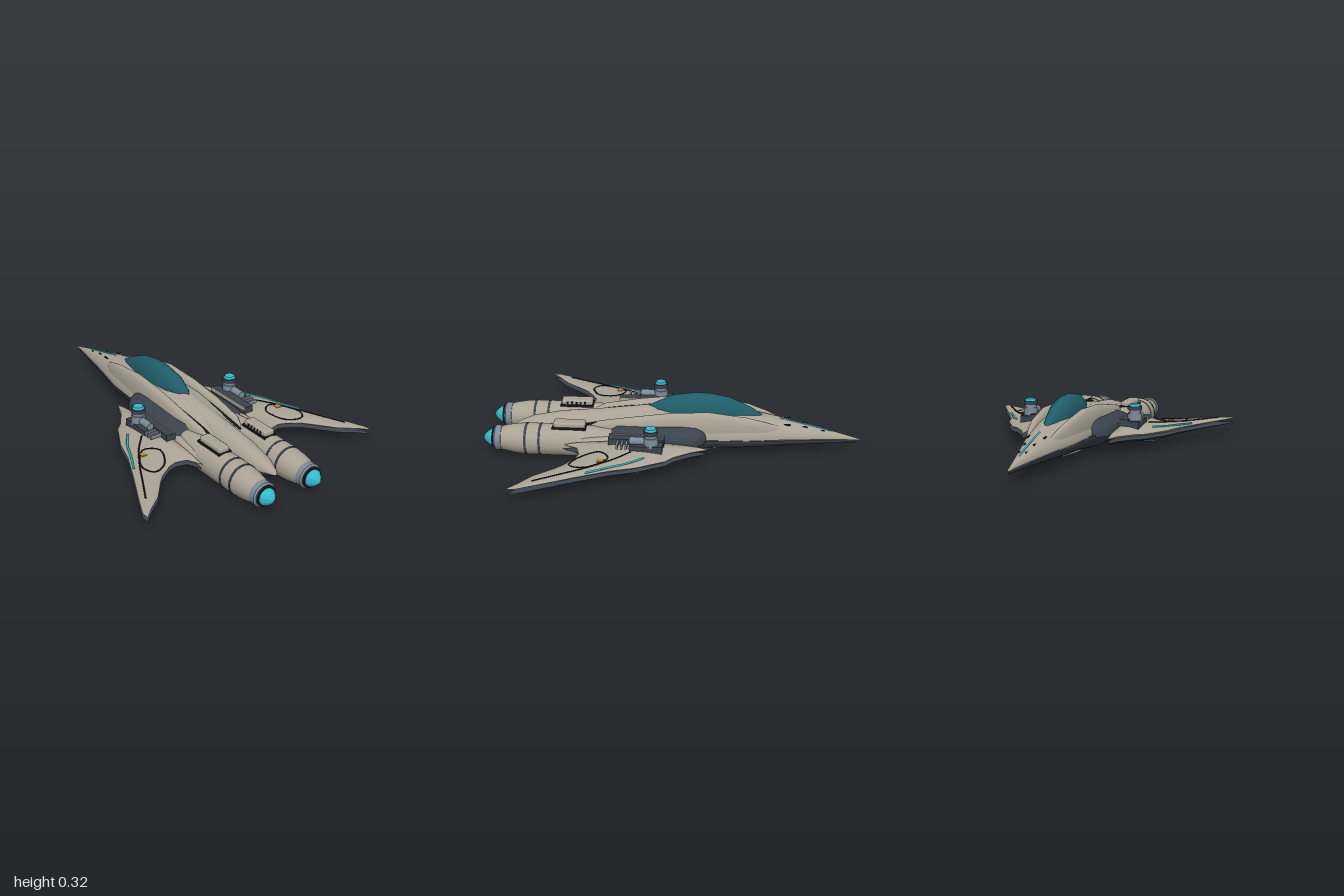
import * as THREE from 'three';
import { toCreasedNormals } from 'three/addons/utils/BufferGeometryUtils.js';
import { RoundedBoxGeometry } from 'three/addons/geometries/RoundedBoxGeometry.js';

const mat = (name, color, side = THREE.FrontSide) => {
  const m = new THREE.MeshStandardMaterial({ color, side });
  m.name = name;
  return m;
};

export function createModel() {
  const D = THREE.DoubleSide;
  const hull = mat('warm grey hull', 0xaaa395, D);
  const slate = mat('dark slate', 0x3a424c, D);
  const glass = mat('teal glass', 0x1f5c69, D);
  const cyan = mat('glowing cyan', 0x35b9cc);
  const metal = mat('blue grey metal', 0x7d8b98);
  const black = mat('black line', 0x15191d);
  const amber = mat('amber mark', 0xc08a3c);

  const model = new THREE.Group();
  const add = (name, geo, material, x = 0, y = 0, z = 0) => {
    const m = new THREE.Mesh(geo, material);
    m.name = name;
    m.position.set(x, y, z);
    model.add(m);
    return m;
  };

  // Skin over rows of points
  const grid = (rows, flip) => {
    const n = rows[0].length, pos = rows.flat(2), idx = [];
    for (let i = 0; i < rows.length - 1; i++) for (let j = 0; j < n - 1; j++) {
      const a = i * n + j, b = a + 1, c = a + n, d = c + 1;
      idx.push(...(flip ? [a, c, b, b, c, d] : [a, b, c, b, d, c]));
    }
    const g = new THREE.BufferGeometry();
    g.setAttribute('position', new THREE.Float32BufferAttribute(pos, 3));
    g.setIndex(idx);
    g.computeVertexNormals();
    return g;
  };

  // Half-oval loft along z; section = [z, centre x, half width, base y, height (negative hangs down)]
  const loft = (sections, s = 1, e = 1) => grid(sections.map(([z, cx, w, y, h]) =>
    Array.from({ length: 25 }, (_, j) => {
      const a = Math.PI * j / 24, c = Math.cos(a);
      return [s * cx + w * Math.sign(c) * Math.abs(c) ** e, y + h * Math.max(0, Math.sin(a)) ** e, z];
    })), sections[0][4] < 0);

  const lathe = (pts) => toCreasedNormals(
    new THREE.LatheGeometry(pts.map(p => new THREE.Vector2(p[0], p[1])), 32).rotateX(Math.PI / 2), 0.6);

  const line = (pts, r = 0.004, closed = false) => new THREE.TubeGeometry(
    new THREE.CatmullRomCurve3(pts.map(p => new THREE.Vector3(...p)), closed, 'centripetal'), 32, r, 5, closed);

  // Fuselage
  add('upperHull', loft([
    [-1, 0, 0.002, 0.072, 0.006], [-0.9, 0, 0.02, 0.08, 0.025], [-0.8, 0, 0.04, 0.086, 0.045],
    [-0.6, 0, 0.083, 0.097, 0.083], [-0.4, 0, 0.13, 0.105, 0.11], [-0.2, 0, 0.147, 0.11, 0.125],
    [0.1, 0, 0.147, 0.11, 0.12], [0.3, 0, 0.13, 0.1, 0.1], [0.46, 0, 0.09, 0.1, 0.06],
  ]), hull);
  add('lowerHull', loft([
    [-0.98, 0, 0.002, 0.066, -0.01], [-0.8, 0, 0.042, 0.082, -0.032], [-0.6, 0, 0.087, 0.095, -0.055],
    [-0.4, 0, 0.133, 0.105, -0.075], [-0.2, 0, 0.15, 0.11, -0.09], [-0.1, 0, 0.22, 0.11, -0.093],
    [0.1, 0, 0.23, 0.11, -0.095], [0.3, 0, 0.22, 0.105, -0.088], [0.45, 0, 0.13, 0.1, -0.078],
    [0.6, 0, 0.075, 0.1, -0.065], [0.75, 0, 0.05, 0.1, -0.045], [0.85, 0, 0.002, 0.1, -0.003],
  ]), slate);
  add('spine', loft([
    [-0.45, 0, 0.03, 0.1, 0.09], [-0.3, 0, 0.07, 0.1, 0.13], [-0.1, 0, 0.08, 0.1, 0.15],
    [0.13, 0, 0.083, 0.1, 0.135], [0.4, 0, 0.08, 0.1, 0.1], [0.6, 0, 0.072, 0.1, 0.08],
    [0.75, 0, 0.05, 0.1, 0.05], [0.82, 0, 0.024, 0.1, 0.022], [0.85, 0, 0.002, 0.1, 0.003],
  ]), hull);
  add('shoulderDeck', loft([
    [-0.19, 0, 0.14, 0.1, 0.05], [-0.17, 0, 0.185, 0.1, 0.07], [-0.13, 0, 0.215, 0.1, 0.085],
    [-0.05, 0, 0.23, 0.1, 0.09], [0.28, 0, 0.228, 0.1, 0.08], [0.36, 0, 0.19, 0.1, 0.03],
  ], 1, 0.65), slate);
  add('canopy', loft([
    [-0.5, 0, 0.004, 0.18, 0.008], [-0.42, 0, 0.035, 0.185, 0.055], [-0.3, 0, 0.058, 0.2, 0.095],
    [-0.2, 0, 0.067, 0.205, 0.108], [-0.12, 0, 0.07, 0.205, 0.11], [0, 0, 0.06, 0.205, 0.092],
    [0.08, 0, 0.035, 0.205, 0.055], [0.13, 0, 0.004, 0.21, 0.025],
  ]), glass);
  add('noseStripe', line([[0, 0.115, -0.85], [0, 0.132, -0.8], [0, 0.157, -0.7], [0, 0.184, -0.57]], 0.005), cyan);

  // Belly plate
  const plate = new THREE.Shape([[-0.03, -0.29], [0.03, -0.29], [0.06, -0.15], [0.05, 0.1], [0.025, 0.21],
    [-0.025, 0.21], [-0.05, 0.1], [-0.06, -0.15]].map(p => new THREE.Vector2(...p)));
  add('bellyPlate', new THREE.ExtrudeGeometry(plate, { depth: 0.009, bevelEnabled: false })
    .rotateX(Math.PI / 2), hull, 0, 0.021, 0);

  // Wing stations: [x, leading z, trailing z, mid y, half thickness]
  const wing = [
    [0.232, -0.21, 0.56, 0.1, 0.001], [0.236, -0.2, 0.55, 0.1, 0.034], [0.27, -0.12, 0.48, 0.1, 0.036],
    [0.33, -0.03, 0.463, 0.098, 0.033], [0.375, 0.01, 0.475, 0.096, 0.029], [0.45, 0.15, 0.525, 0.094, 0.023],
    [0.49, 0.28, 0.565, 0.092, 0.02], [0.57, 0.45, 0.66, 0.09, 0.014], [0.65, 0.61, 0.72, 0.088, 0.008],
    [0.7, 0.715, 0.765, 0.086, 0.003], [0.706, 0.735, 0.766, 0.086, 0.0005],
  ];
  const wingSkin = (s, drop, slope) => grid(wing.map(([x, l, t, y, h]) =>
    Array.from({ length: 33 }, (_, k) => {
      const a = 2 * Math.PI * k / 32, q = Math.sin(a);
      return [s * x, y - drop + Math.sign(q) * Math.abs(q) ** 1.4 * h * slope, l + (t - l) * (1 - Math.cos(a)) / 2];
    })), s < 0);
  // Point on the upper wing surface
  const onWing = (s, x, z) => {
    const i = Math.max(1, wing.findIndex(w => w[0] >= x)), a = wing[i - 1], b = wing[i];
    const f = (x - a[0]) / (b[0] - a[0]);
    const [l, t, y, h] = [1, 2, 3, 4].map(k => a[k] + (b[k] - a[k]) * f);
    const u = THREE.MathUtils.clamp((z - l) / (t - l), 0, 1);
    return [s * x, y + h * (2 * Math.sqrt(u * (1 - u))) ** 1.4 + 0.001, z];
  };

  for (const [s, side] of [[1, 'left'], [-1, 'right']]) {
    const part = (name, geo, material, x = 0, y = 0, z = 0) => add(side + name, geo, material, s * x, y, z);
    const box = (name, material, x, y, z, w, h, d) => part(name, new THREE.BoxGeometry(w, h, d), material, x, y, z);

    // Ridges beside the canopy, with seams
    part('Ridge', loft([
      [-0.6, 0.055, 0.008, 0.12, 0.03], [-0.5, 0.075, 0.022, 0.12, 0.07], [-0.4, 0.09, 0.03, 0.12, 0.1],
      [-0.2, 0.104, 0.037, 0.12, 0.13], [0, 0.11, 0.038, 0.12, 0.122], [0.2, 0.115, 0.036, 0.11, 0.105],
      [0.38, 0.11, 0.028, 0.1, 0.085], [0.46, 0.1, 0.004, 0.1, 0.04],
    ], s, 0.8), hull);
    part('RidgeSeam', line([[0.08, 0.2, 0], [0.085, 0.188, 0.2], [0.083, 0.165, 0.38], [0.086, 0.15, 0.46]]
      .map(p => [s * p[0], p[1], p[2]]), 0.006), black);
    for (const [x, y, z] of [[0.024, 0.148, -0.7], [0.043, 0.167, -0.61], [0.016, 0.126, -0.79]])
      box('NoseSlot', black, x, y, z, 0.006, 0.008, 0.035);

    // Wing: light upper skin over dark lower skin
    part('UpperWing', wingSkin(s, 0, 1), hull);
    part('LowerWing', wingSkin(s, 0.026, 0.95), slate);
    part('WingStripe', line([[0.385, 0.12], [0.44, 0.2], [0.48, 0.29], [0.535, 0.4]]
      .map(p => onWing(s, ...p)), 0.006), cyan);
    part('WingSeam', line([[0.345, 0.19], [0.42, 0.275], [0.5, 0.4], [0.57, 0.53], [0.635, 0.65]]
      .map(p => onWing(s, ...p))), black);
    part('WingHatch', line([[0.345, 0.35], [0.41, 0.3], [0.49, 0.39], [0.5, 0.45], [0.47, 0.49], [0.39, 0.455]]
      .map(p => onWing(s, ...p)), 0.004, true), black);
    const mark = onWing(1, 0.435, 0.335);
    box('WingMark', amber, mark[0], mark[1], mark[2], 0.03, 0.006, 0.03);
    box('UnderwingPanel', slate, 0.36, 0.039, 0.24, 0.08, 0.012, 0.2);

    // Turret on its rail
    box('Rail', slate, 0.25, 0.135, 0.17, 0.055, 0.06, 0.29);
    box('RailStep', slate, 0.3, 0.135, 0.115, 0.07, 0.04, 0.17);
    box('RailEdge', hull, 0.225, 0.16, 0.17, 0.006, 0.02, 0.29);
    part('TurretBase', new THREE.CylinderGeometry(0.037, 0.039, 0.05, 24), metal, 0.297, 0.17, 0.09);
    part('TurretNeck', new THREE.CylinderGeometry(0.032, 0.032, 0.02, 24), metal, 0.297, 0.203, 0.09);
    part('TurretCollar', new THREE.CylinderGeometry(0.038, 0.038, 0.022, 24), slate, 0.297, 0.222, 0.09);
    part('TurretLens', new THREE.CylinderGeometry(0.026, 0.032, 0.012, 24), cyan, 0.297, 0.238, 0.09);
    part('TurretBarrel', new THREE.CylinderGeometry(0.02, 0.02, 0.09, 16).rotateX(Math.PI / 2), metal, 0.297, 0.17, 0.155);
    for (let i = 0; i < 3; i++) box('RailRib', metal, 0.297, 0.15, 0.215 + i * 0.024, 0.09, 0.02, 0.01);

    // Engine nacelle
    const nx = 0.144, ny = 0.084;
    part('Nacelle', lathe([[0.001, 0.12], [0.045, 0.2], [0.068, 0.3], [0.079, 0.4], [0.084, 0.5], [0.084, 0.76],
      [0.079, 0.82], [0.07, 0.87], [0.063, 0.9]]), hull, nx, ny);
    for (const z of [0.69, 0.765])
      part('NacelleBand', lathe([[0.08, z - 0.006], [0.0855, z - 0.006], [0.0855, z + 0.006], [0.08, z + 0.006]]), slate, nx, ny);
    part('NozzleRing', lathe([[0.058, 0.895], [0.066, 0.898], [0.066, 0.93], [0.058, 0.938], [0.04, 0.938]]), metal, nx, ny);
    part('NozzleThroat', lathe([[0.055, 0.93], [0.055, 0.948], [0.03, 0.948]]), black, nx, ny);
    part('EngineGlow', lathe([[0.046, 0.945], [0.046, 0.957], [0.034, 0.975], [0.016, 0.993], [0.001, 1]]), cyan, nx, ny);
    part('Fairing', loft([[0.2, 0.2, 0.02, 0.08, 0.04], [0.32, 0.205, 0.035, 0.08, 0.06],
      [0.45, 0.21, 0.03, 0.08, 0.05], [0.58, 0.205, 0.004, 0.08, 0.02]], s), hull);

    // Vent box on the nacelle
    part('VentBox', new RoundedBoxGeometry(0.065, 0.034, 0.17, 3, 0.012), hull, 0.143, 0.178, 0.535);
    box('VentBase', black, 0.143, 0.164, 0.535, 0.076, 0.012, 0.18);
    for (let i = 0; i < 5; i++) box('VentSlot', black, 0.114, 0.18, 0.49 + i * 0.024, 0.012, 0.014, 0.01);
  }
  return model;
}
